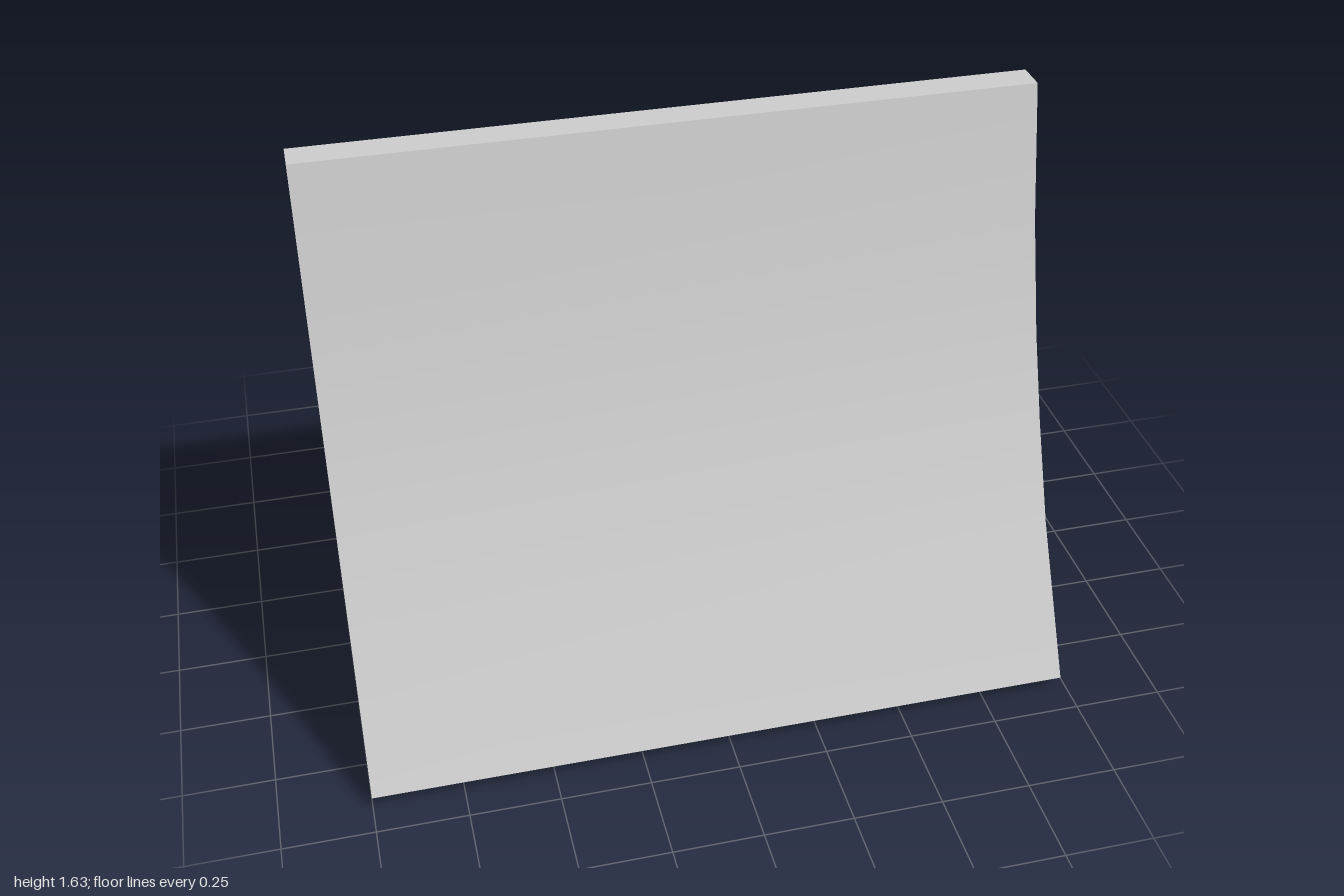
import * as THREE from 'three';
import { toCreasedNormals } from 'three/addons/utils/BufferGeometryUtils.js';

const material = new THREE.MeshStandardMaterial({ color: 0xcccccc });

// Extrudes a (z, y) side profile along x
function panelGeometry(profile) {
  const shape = new THREE.Shape(profile.map(([z, y]) => new THREE.Vector2(-z, y)));
  const geometry = new THREE.ExtrudeGeometry(shape, { depth: 1.98, bevelEnabled: false });
  geometry.rotateY(Math.PI / 2);
  geometry.translate(-1, 0, 0);
  return geometry;
}

function addPart(group, name, geometry) {
  const mesh = new THREE.Mesh(geometry, material);
  mesh.name = name;
  group.add(mesh);
}

export function createModel() {
  const group = new THREE.Group();
  group.name = 'foldedTent';

  // Front panel: smoothly curved sheet, flaring outwards at the foot
  const front = panelGeometry([
    [0, 1.63], [0.043, 1.63], [0.13, 1.26], [0.228, 0.95], [0.322, 0.71], [0.443, 0.44],
    [0.667, 0.04], [0.6, 0], [0.378, 0.41], [0.25, 0.68], [0.152, 0.94], [0.058, 1.235], [0, 1.54],
  ]);
  addPart(group, 'frontPanel', toCreasedNormals(front, 0.5));

  // Back panel: three flat bands, the middle folds pushed slightly sideways
  const back = panelGeometry([
    [0, 1.63], [-0.043, 1.63], [-0.222, 1.07], [-0.432, 0.53], [-0.667, 0.04],
    [-0.597, 0.01], [-0.362, 0.505], [-0.15, 1.035], [0, 1.54],
  ]);
  const p = back.attributes.position;
  for (let i = 0; i < p.count; i++) {
    const y = p.getY(i);
    if (y > 0.2 && y < 1.3) p.setX(i, p.getX(i) + (y > 0.8 ? 0.015 : 0.02));
  }
  back.computeVertexNormals();
  addPart(group, 'backPanel', back);

  return group;
}
